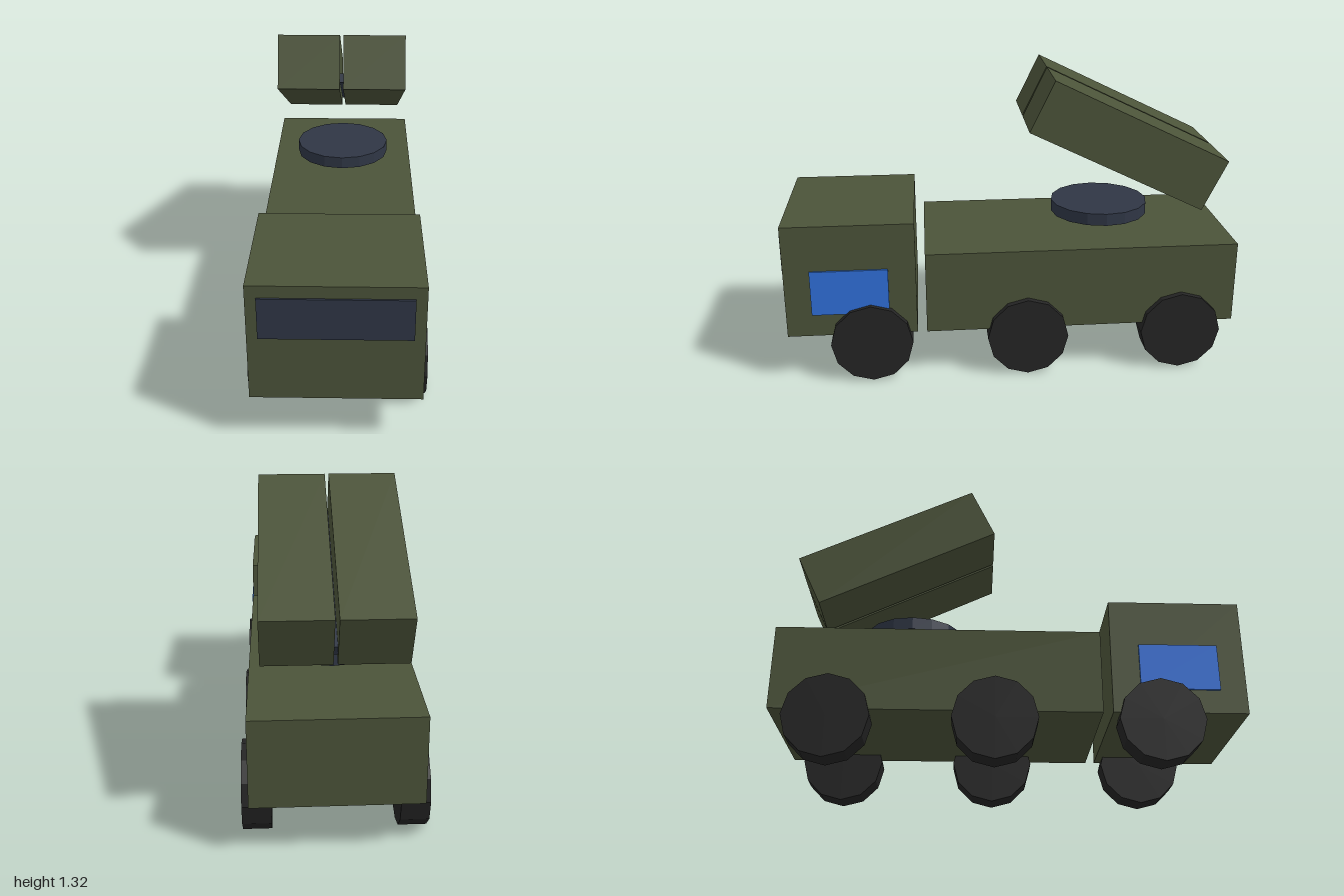
import * as THREE from 'three';

export function createModel() {
  const root = new THREE.Group();
  root.name = 'launcherTruck';

  const mat = (name, color) => {
    const m = new THREE.MeshStandardMaterial({ color, flatShading: true });
    m.name = name;
    return m;
  };
  const olive = mat('olive', 0x4b5339);
  const slate = mat('slate', 0x2f3645);
  const blue = mat('blue', 0x3070da);
  const rubber = mat('rubber', 0x242424);

  const add = (parent, name, geometry, material, x, y, z) => {
    const mesh = new THREE.Mesh(geometry, material);
    mesh.name = name;
    mesh.position.set(x, y, z);
    parent.add(mesh);
    return mesh;
  };
  const box = (w, h, d) => new THREE.BoxGeometry(w, h, d);

  // Cab and cargo body
  add(root, 'cab', box(0.68, 0.512, 0.568), olive, 0, 0.474, 0.708);
  add(root, 'body', box(0.68, 0.368, 1.383), olive, 0, 0.4, -0.3085);

  // Windows as thin plates on the cab
  add(root, 'windshield', box(0.594, 0.178, 0.009), slate, 0, 0.589, 0.9955);
  for (const s of [1, -1]) {
    add(root, s > 0 ? 'leftWindow' : 'rightWindow', box(0.009, 0.204, 0.336), blue, s * 0.3445, 0.423, 0.712);
  }

  // Three axles of wheels
  const wheel = new THREE.CylinderGeometry(0.18, 0.18, 0.116, 12).rotateZ(Math.PI / 2);
  [['front', 0.625], ['middle', -0.066], ['rear', -0.757]].forEach(([axle, z]) => {
    for (const s of [1, -1]) {
      add(root, axle + (s > 0 ? 'LeftWheel' : 'RightWheel'), wheel, rubber, s * 0.311, 0.181, z);
    }
  });

  // Turntable
  add(root, 'turntable', new THREE.CylinderGeometry(0.222, 0.222, 0.055, 16), slate, 0, 0.672, -0.431);

  // Tilted launcher: two pods with a rail between them
  const launcher = new THREE.Group();
  launcher.name = 'launcher';
  launcher.position.set(0, 1.0265, -0.509);
  launcher.rotation.x = -0.451;
  root.add(launcher);
  for (const s of [1, -1]) {
    add(launcher, s > 0 ? 'leftPod' : 'rightPod', box(0.28, 0.245, 0.851), olive, s * 0.148, 0, 0);
  }
  add(launcher, 'rail', box(0.06, 0.04, 0.79), slate, 0, -0.067, -0.009);

  return root;
}
